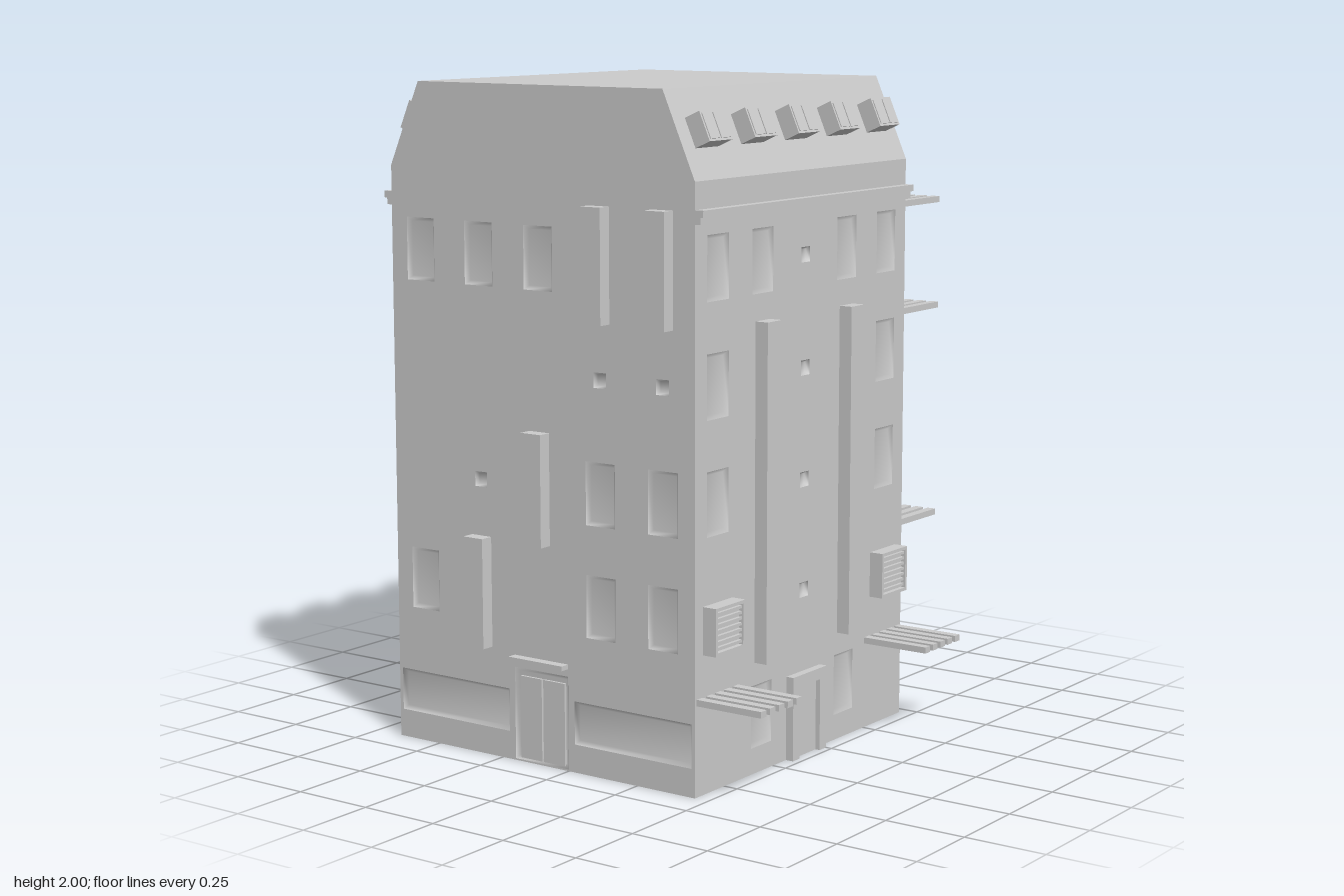
import * as THREE from 'three';

const mat = new THREE.MeshStandardMaterial({ color: 0xcccccc, side: THREE.DoubleSide });
const HALF = 0.555, BAY = 0.222, FLOOR = 1 / 3;
const EAVE = 1.75, TOP = 2, SLOPE_IN = 0.11;
const bayX = (i) => (i - 2) * BAY;

function add(parent, name, geometry, x = 0, y = 0, z = 0) {
  const mesh = new THREE.Mesh(geometry, mat);
  mesh.name = name;
  mesh.position.set(x, y, z);
  parent.add(mesh);
  return mesh;
}

// Box standing out from a wall; y is its lower edge, z its back
function block(parent, name, w, h, d, x, y, z = HALF) {
  return add(parent, name, new THREE.BoxGeometry(w, h, d), x, y + h / 2, z + d / 2);
}

// Shallow recess with softly shaded, splayed reveals and a flat pane
function nicheGeometry(w, h, inset, depth) {
  const ring = (a, b, z) => [-a, -b, z, a, -b, z, a, b, z, -a, b, z];
  const g = new THREE.BufferGeometry();
  g.setAttribute('position', new THREE.Float32BufferAttribute(
    [...ring(w / 2, h / 2, 0), ...ring(w / 2 - inset, h / 2 - inset, -depth)], 3));
  const index = [4, 5, 6, 4, 6, 7];
  for (let i = 0; i < 4; i++) {
    const j = (i + 1) % 4;
    index.push(i, j, j + 4, i, j + 4, i + 4);
  }
  g.setIndex(index);
  g.computeVertexNormals();
  return g;
}

// Wall sheet pierced by niches; each niche is [name, x, centre y, width, height]
function wall(face, gable, niches) {
  const shape = new THREE.Shape();
  shape.moveTo(-HALF, 0);
  shape.lineTo(HALF, 0);
  shape.lineTo(HALF, EAVE);
  if (gable) {
    shape.lineTo(HALF - SLOPE_IN, TOP);
    shape.lineTo(-HALF + SLOPE_IN, TOP);
  }
  shape.lineTo(-HALF, EAVE);
  shape.closePath();
  for (const [name, x, y, w, h] of niches) {
    const hole = new THREE.Path();
    hole.moveTo(x - w / 2, y - h / 2);
    hole.lineTo(x - w / 2, y + h / 2);
    hole.lineTo(x + w / 2, y + h / 2);
    hole.lineTo(x + w / 2, y - h / 2);
    hole.closePath();
    shape.holes.push(hole);
    add(face, name, nicheGeometry(w, h, Math.min(0.012, w / 6), 0.012), x, y, HALF);
  }
  add(face, 'wall', new THREE.ShapeGeometry(shape), 0, 0, HALF);
}

const windowAt = ([bay, floor]) => ['window', bayX(bay), floor * FLOOR + 0.172, 0.105, 0.187];
const ventAt = ([bay, floor]) => ['wallVent', bayX(bay), floor * FLOOR + 0.17, 0.045, 0.045];

// Row of five projecting slats
function pergola(face, bay, floor) {
  const g = new THREE.Group();
  g.name = 'pergola';
  for (let i = -2; i <= 2; i++) {
    block(g, 'pergolaSlat', 0.027, 0.019, 0.22, bayX(bay) + i * 0.0444, floor * FLOOR + 0.268);
  }
  face.add(g);
}

// Slatted ventilation unit
function grille(face, bay) {
  const x = bayX(bay), y = 0.41;
  block(face, 'grilleBody', 0.13, 0.14, 0.03, x, y);
  for (const s of [-1, 1]) {
    block(face, 'grilleSide', 0.01, 0.14, 0.045, x + s * 0.068, y);
    block(face, 'grilleRail', 0.145, 0.01, 0.045, x, y + 0.065 + s * 0.065);
  }
  for (let i = 0; i < 7; i++) block(face, 'grilleSlat', 0.126, 0.008, 0.012, x, y + 0.016 + i * 0.0167, HALF + 0.028);
}

// Door leaf inside a stepped surround
function door(face, x, w, h, depth, border) {
  const g = new THREE.Group();
  g.name = 'door';
  for (const s of [-1, 1]) block(g, 'doorJamb', border, h, depth, x + s * (w - border) / 2, 0);
  block(g, 'doorHead', w - 2 * border, border, depth, x, h - border);
  block(g, 'doorLeaf', w - 2 * border, h - border, depth * 0.4, x, 0);
  face.add(g);
}

// Cornice, mansard slope and dormers shared by front and back
function mansard(face) {
  const rise = TOP - EAVE, tilt = Math.atan2(SLOPE_IN, rise);
  const slope = add(face, 'mansardSlope', new THREE.PlaneGeometry(2 * HALF, Math.hypot(rise, SLOPE_IN)),
    0, (EAVE + TOP) / 2, HALF - SLOPE_IN / 2);
  slope.rotation.x = -tilt;
  block(face, 'corniceLower', 2 * HALF, 0.02, 0.018, 0, 1.632);
  block(face, 'corniceUpper', 2 * HALF, 0.02, 0.028, 0, 1.652);
  for (let i = 0; i < 5; i++) {
    const dormer = new THREE.Group();
    dormer.name = 'dormer';
    dormer.position.set(bayX(i), 1.885, HALF - 0.04);
    dormer.rotation.x = -tilt;
    add(dormer, 'dormerBody', new THREE.BoxGeometry(0.11, 0.09, 0.07));
    for (const s of [-1, 1]) {
      add(dormer, 'dormerPane', new THREE.BoxGeometry(0.046, 0.076, 0.004), s * 0.026, 0, 0.036);
    }
    face.add(dormer);
  }
}

function makeFace(parent, name, turn) {
  const face = new THREE.Group();
  face.name = name;
  face.rotation.y = turn;
  parent.add(face);
  return face;
}

export function createModel() {
  const model = new THREE.Group();
  model.name = 'apartmentBlock';
  const body = new THREE.Group();
  body.name = 'building';
  body.position.set(-0.09, 0, -0.1);
  model.add(body);

  // Flat roof
  const roof = add(body, 'flatRoof', new THREE.PlaneGeometry(2 * HALF, 2 * (HALF - SLOPE_IN)), 0, TOP, 0);
  roof.rotation.x = -Math.PI / 2;

  // Front: windows, ducts, grilles, pergolas and entrance
  const front = makeFace(body, 'frontFace', 0);
  const frontWindows = [];
  for (const b of [0, 4]) {
    for (const f of [2, 3, 4]) frontWindows.push([b, f]);
    grille(front, b);
    pergola(front, b, 0);
  }
  for (const b of [1, 3]) {
    frontWindows.push([b, 0], [b, 4]);
    block(front, 'duct', 0.072, 1, 0.042, bayX(b), FLOOR);
  }
  const frontVents = [1, 2, 3, 4].map((f) => [2, f]);
  wall(front, false, [...frontWindows.map(windowAt), ...frontVents.map(ventAt)]);
  door(front, 0, 0.18, 0.255, 0.025, 0.035);
  mansard(front);

  // Back: regular windows, top vents and a service door
  const back = makeFace(body, 'backFace', Math.PI);
  const backWindows = [], backVents = [];
  for (let b = 0; b < 5; b++) {
    for (const f of [1, 2, 3]) backWindows.push([b, f]);
    backVents.push([b, 4]);
  }
  wall(back, false, [...backWindows.map(windowAt), ...backVents.map(ventAt)]);
  door(back, 0, 0.1, 0.235, 0.012, 0.014);
  mansard(back);

  // Left side: scattered windows, pergolas and a porch box
  const left = makeFace(body, 'leftFace', Math.PI / 2);
  wall(left, true, [[1, 4], [3, 4], [4, 4], [1, 3], [2, 3], [0, 2], [2, 2], [3, 2],
    [1, 1], [2, 1], [0, 0], [2, 0]].map(windowAt));
  for (const [b, f] of [[0, 4], [2, 4], [0, 3], [3, 3], [4, 3], [1, 2], [4, 2],
    [0, 1], [3, 1], [4, 1], [1, 0], [4, 0]]) pergola(left, b, f);
  block(left, 'sideDoorBox', 0.095, 0.225, 0.036, bayX(3), 0);

  // Right side: windows, vents, short ducts and a shopfront
  const right = makeFace(body, 'rightFace', -Math.PI / 2);
  wall(right, true, [
    ...[[0, 4], [1, 4], [2, 4], [3, 2], [4, 2], [0, 1], [3, 1], [4, 1]].map(windowAt),
    ...[[3, 3], [4, 3], [1, 2]].map(ventAt),
    ...[-1, 1].map((s) => ['shopWindow', s * 0.333, 0.15, 0.42, 0.13]),
    ['shopDoorway', 0, 0.145, 0.2, 0.28],
  ]);
  for (const [b, f] of [[1, 1], [2, 2], [3, 4], [4, 4]]) {
    block(right, 'shortDuct', 0.072, FLOOR, 0.042, bayX(b), f * FLOOR);
  }
  for (const s of [-1, 1]) block(right, 'shopDoorLeaf', 0.08, 0.25, 0.008, s * 0.043, 0.01, HALF - 0.012);
  block(right, 'shopCanopy', 0.2, 0.014, 0.03, 0, 0.308);

  return model;
}
